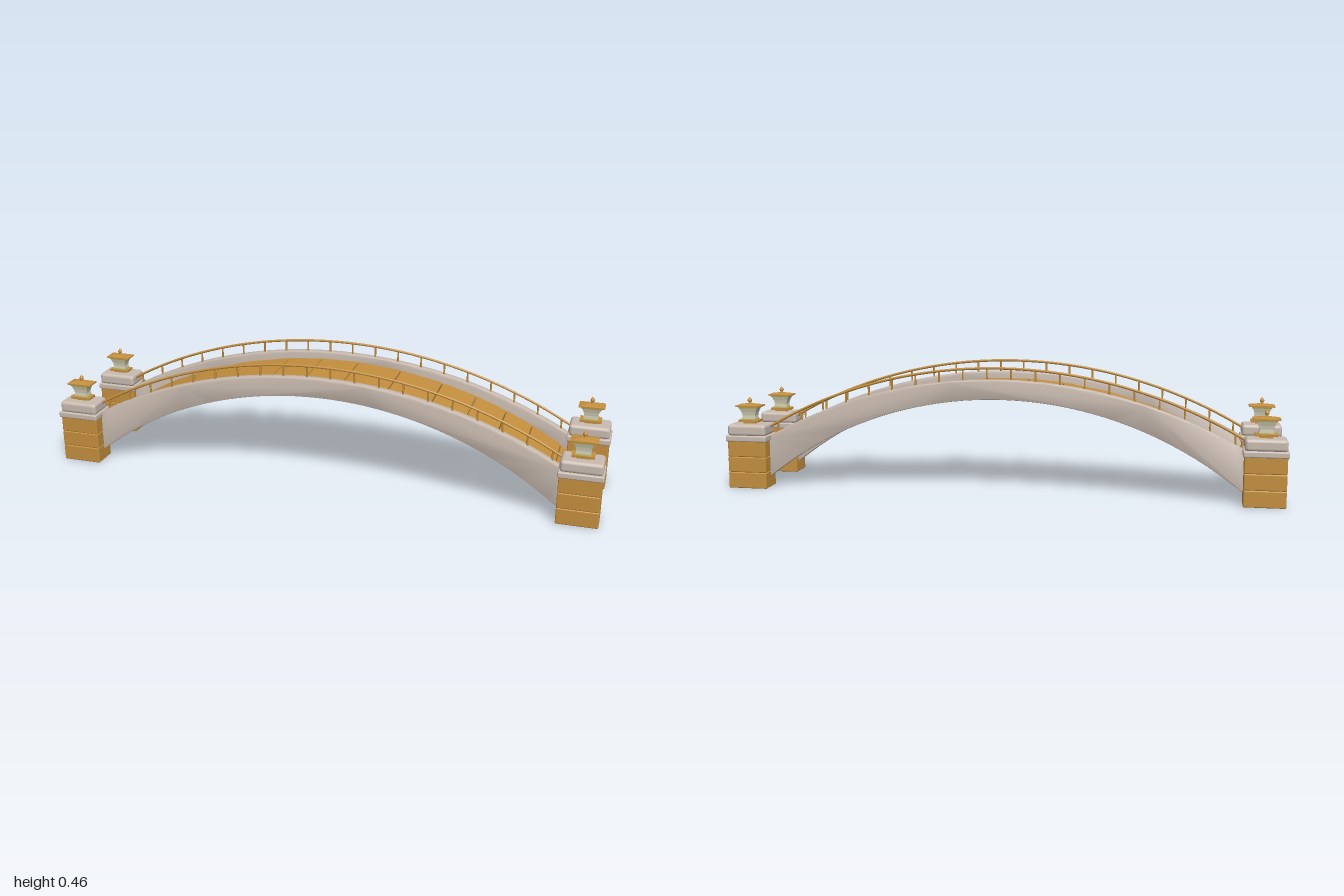
import * as THREE from 'three';
import { RoundedBoxGeometry } from 'three/addons/geometries/RoundedBoxGeometry.js';
import { toCreasedNormals } from 'three/addons/utils/BufferGeometryUtils.js';

const material = (name, color) => {
  const m = new THREE.MeshStandardMaterial({ color });
  m.name = name;
  return m;
};

// height of a circular arch with its crown at y = top, lower by sag at x = span
const arch = (top, span, sag) => {
  const r = (span * span + sag * sag) / (2 * sag);
  return x => top - r + Math.sqrt(r * r - x * x);
};
const beamTop = arch(0.412, 0.855, 0.225);
const beamBottom = arch(0.342, 0.855, 0.305);
const railLine = arch(0.452, 0.855, 0.23);
const deckTop = arch(0.387, 0.95, 0.327);

export function createModel() {
  const wood = material('golden wood', 0xc48f3e);
  const stone = material('pale stone', 0xc9bbb0);
  const glass = material('lamp glass', 0xd2cdb4);
  const frame = material('lamp frame yellow', 0xb8b35a);

  const model = new THREE.Group();
  model.name = 'archedBridge';

  const add = (parent, name, geometry, mat, x = 0, y = 0, z = 0) => {
    const mesh = new THREE.Mesh(geometry, mat);
    mesh.name = name;
    mesh.position.set(x, y, z);
    parent.add(mesh);
    return mesh;
  };
  const block = (parent, name, mat, w, d, y0, y1, r) =>
    add(parent, name, new RoundedBoxGeometry(w, y1 - y0, d, 2, r), mat, 0, (y0 + y1) / 2, 0);

  // four-sided turned shape: profile of [half width, height], deeper or narrower in z
  const squareTurned = (profile, depth) => {
    const pts = profile.map(([h, y]) => new THREE.Vector2(h * Math.SQRT2, y));
    const g = new THREE.LatheGeometry(pts, 4).rotateY(Math.PI / 4).scale(1, 1, depth).toNonIndexed();
    g.computeVertexNormals();
    return g;
  };

  // lantern on each pillar
  const addLamp = parent => {
    const lamp = new THREE.Group();
    lamp.name = 'lamp';
    lamp.position.y = 0.232;
    parent.add(lamp);
    add(lamp, 'lampFoot', new THREE.BoxGeometry(0.045, 0.012, 0.026), wood, 0, 0.004, 0);
    add(lamp, 'lampBase', new THREE.BoxGeometry(0.076, 0.008, 0.045), wood, 0, 0.013, 0);
    add(lamp, 'lampBody', squareTurned(
      [[0, 0.015], [0.026, 0.015], [0.024, 0.033], [0.027, 0.046], [0.036, 0.066], [0, 0.066]], 0.66), glass);
    add(lamp, 'lampLowerBand', squareTurned(
      [[0, 0.016], [0.028, 0.016], [0.027, 0.021], [0, 0.021]], 0.66), frame);
    add(lamp, 'lampUpperBand', squareTurned(
      [[0, 0.06], [0.035, 0.06], [0.037, 0.065], [0, 0.065]], 0.66), frame);
    add(lamp, 'lampRoof', squareTurned(
      [[0, 0.065], [0.046, 0.065], [0.046, 0.07], [0.012, 0.076], [0, 0.076]], 0.58), wood);
    const knob = [[0.009, 0.072], [0.004, 0.08], [0.008, 0.085], [0.008, 0.089], [0.004, 0.096], [0, 0.1]]
      .map(p => new THREE.Vector2(...p));
    add(lamp, 'lampFinial', new THREE.LatheGeometry(knob, 10), wood);
  };

  // four corner pillars
  for (const sx of [-1, 1]) for (const sz of [-1, 1]) {
    const pillar = new THREE.Group();
    pillar.name = 'pillar';
    pillar.position.set(sx * 0.923, 0, sz * 0.158);
    model.add(pillar);
    [[0, 0.059], [0.059, 0.116], [0.116, 0.176]].forEach(([a, b]) =>
      block(pillar, 'pillarBlock', wood, 0.144, 0.094, a, b, 0.004));
    block(pillar, 'pillarLedge', stone, 0.154, 0.108, 0.173, 0.195, 0.005);
    block(pillar, 'pillarCap', stone, 0.144, 0.096, 0.192, 0.235, 0.012);
    addLamp(pillar);
  }

  // arched side beams
  const bevel = 0.004, end = 0.86, steps = 40;
  const xs = Array.from({ length: steps + 1 }, (_, i) => -end + (2 * end * i) / steps);
  const outline = new THREE.Shape([
    ...xs.map(x => new THREE.Vector2(x, beamBottom(x) + bevel)),
    ...[...xs].reverse().map(x => new THREE.Vector2(x, beamTop(x) - bevel)),
  ]);
  const beam = toCreasedNormals(new THREE.ExtrudeGeometry(outline, {
    depth: 0.031 - 2 * bevel, bevelEnabled: true, bevelSize: bevel, bevelThickness: bevel, bevelSegments: 2,
  }).translate(0, 0, -0.0155 + bevel), 0.6);

  // handrail following the arch
  const railCurve = new THREE.CatmullRomCurve3(
    xs.filter((_, i) => i % 2 === 0).map(x => new THREE.Vector3(x, railLine(x), 0)));
  const rail = new THREE.TubeGeometry(railCurve, 60, 0.0045, 8);

  for (const sz of [-1, 1]) {
    add(model, 'sideBeam', beam, stone, 0, 0, sz * 0.145);
    add(model, 'handrail', rail, wood, 0, 0, sz * 0.143);
    for (let i = 0; i < 20; i++) {
      const x = (i - 9.5) * 0.0865;
      const y0 = beamTop(x) - 0.008, y1 = railLine(x);
      add(model, 'railPost', new THREE.CylinderGeometry(0.0035, 0.0035, y1 - y0, 6), wood,
        x, (y0 + y1) / 2, sz * 0.143);
    }
  }

  // deck planks laid as chords along the arch
  const joints = [-0.95, -0.81, -0.705, -0.62, -0.53, -0.365, -0.2, -0.07,
    0.07, 0.23, 0.385, 0.51, 0.62, 0.715, 0.82, 0.95];
  const thick = 0.028;
  for (let i = 0; i + 1 < joints.length; i++) {
    const [a, b] = [joints[i], joints[i + 1]];
    const [ya, yb] = [deckTop(a), deckTop(b)];
    const length = Math.hypot(b - a, yb - ya) - 0.002;
    const plank = add(model, 'deckPlank',
      new RoundedBoxGeometry(length, thick, i === 0 || i === joints.length - 2 ? 0.25 : 0.266, 1, 0.003),
      wood, (a + b) / 2, (ya + yb) / 2 - thick / 2, 0);
    plank.rotation.z = Math.atan2(yb - ya, b - a);
  }

  return model;
}
